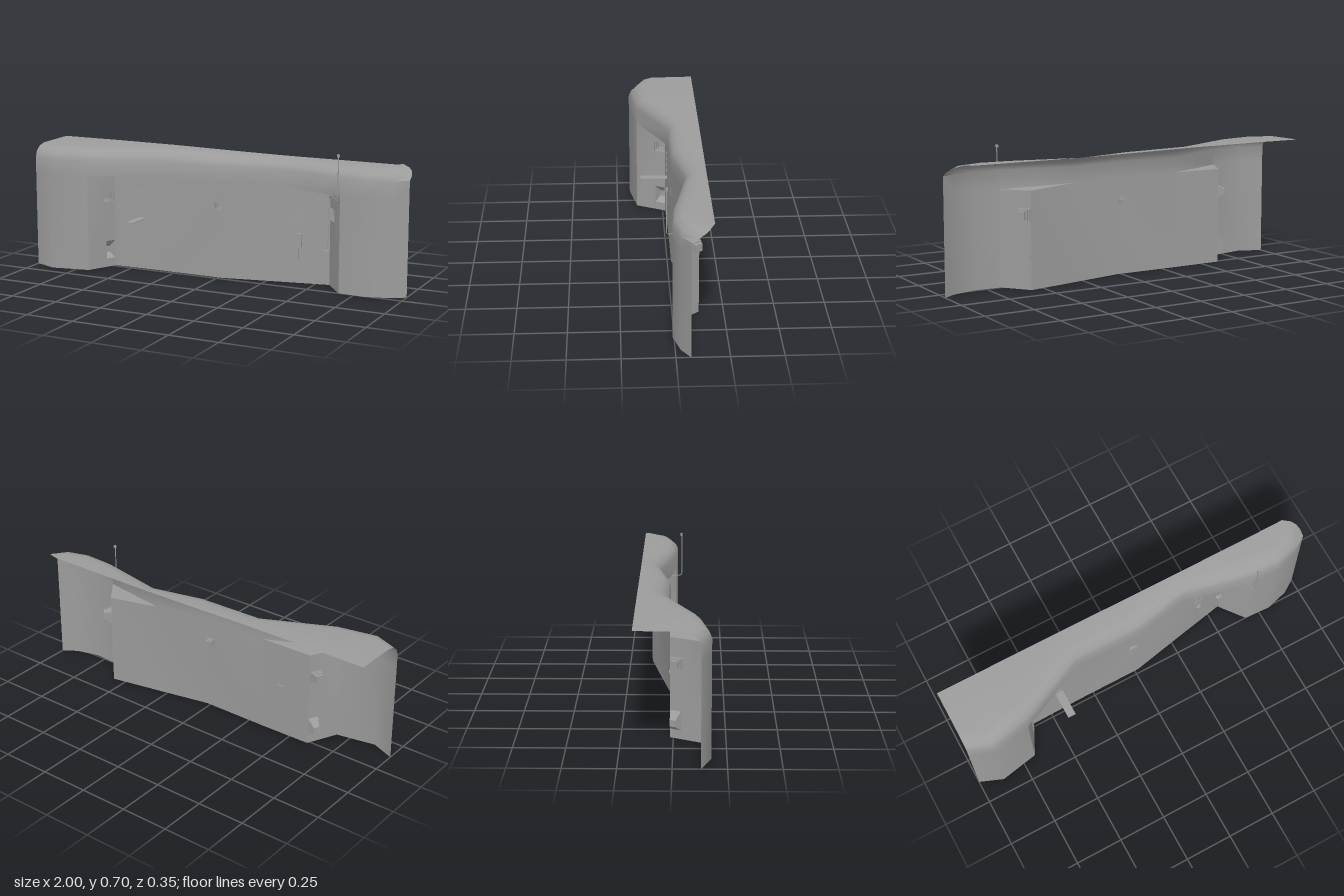
import * as THREE from 'three';
import { mergeGeometries, toCreasedNormals } from 'three/addons/utils/BufferGeometryUtils.js';

const material = new THREE.MeshStandardMaterial({ color: 0x9c9c9c, side: THREE.DoubleSide });

// Plan of the upper shell (x, z, bottom y) and of the recessed lower wall (x, z, top y)
const upperPlan = [[-1, 0.13, 0.5], [-0.88, 0.178, 0.5], [-0.68, 0.14, 0.5], [-0.33, -0.02, 0.5],
  [0.02, -0.02, 0.5], [0.3, -0.077, 0.5], [0.5, -0.035, 0.492], [0.67, 0, 0.486], [0.81, 0.008, 0.5],
  [0.93, -0.025, 0.5], [1, -0.07, 0.5]];
const lowerPlan = [[-1, 0.13, 0.5], [-0.88, 0.178, 0.5], [-0.68, 0.14, 0.5], [-0.605, -0.015, 0.5],
  [-0.33, -0.02, 0.5], [0.02, -0.02, 0.5], [0.3, -0.077, 0.5], [0.57, -0.13, 0.488], [0.67, 0, 0.486],
  [0.81, 0.008, 0.5], [0.93, -0.025, 0.5], [1, -0.07, 0.5]];

// Stepped lamp niche as rings of width, height, depth, vertical shift
const lampRings = s => [[0.07, 0.062, 0], [0.07, 0.062, 0.012], [0.056, 0.052, 0.012], [0.056, 0.052, 0.025],
  [0.042, 0.04, 0.025], [0.042, 0.04, 0.042], [0, 0, 0.042]].map(r => r.map(v => v * s));
const hoodRings = [[0.055, 0.095, 0], [0.03, 0.032, 0.036, -0.006], [0, 0, 0.036, -0.006]];

// Openings: wall segment, distance along it, height, rings
const openings = [
  { name: 'lampNiche', segment: 2, u: 0.1367, y: 0.378, rings: lampRings(0.87) },
  { name: 'hoodNiche', segment: 2, u: 0.142, y: 0.092, rings: hoodRings },
  { name: 'lampNiche', segment: 4, u: 0.325, y: 0.375, rings: lampRings(0.6) },
  { name: 'lampNiche', segment: 7, u: 0.038, y: 0.37, rings: lampRings(1) },
];

function fromPoints(points) {
  const g = new THREE.BufferGeometry();
  g.setAttribute('position', new THREE.Float32BufferAttribute(points.flat(), 3));
  return g;
}

// Surface through columns of points, each listed bottom to top
function sheet(columns) {
  const rows = columns[0].length, index = [];
  for (let i = 0; i < columns.length - 1; i++)
    for (let j = 0; j < rows - 1; j++) {
      const a = i * rows + j, b = a + rows;
      index.push(a, b, b + 1, a, b + 1, a + 1);
    }
  return fromPoints(columns.flat()).setIndex(index).toNonIndexed();
}

const rectangle = (w, h) => [[-w / 2, -h / 2], [w / 2, -h / 2], [w / 2, h / 2], [-w / 2, h / 2]];

// Start, length and turn of a lower wall segment
function segmentFrame(i) {
  const [x, z] = lowerPlan[i], dx = lowerPlan[i + 1][0] - x, dz = lowerPlan[i + 1][1] - z;
  return { x, z, length: Math.hypot(dx, dz), turn: -Math.atan2(dz, dx) };
}

// Flat wall segment with its openings cut out
function wallPanel(i) {
  const { x, z, length, turn } = segmentFrame(i);
  const outline = [[0, 0], [length, 0], [length, lowerPlan[i + 1][2]], [0, lowerPlan[i][2]]];
  const shape = new THREE.Shape(outline.map(p => new THREE.Vector2(...p)));
  for (const o of openings.filter(o => o.segment === i))
    shape.holes.push(new THREE.Path(rectangle(o.rings[0][0], o.rings[0][1])
      .map(([a, b]) => new THREE.Vector2(o.u + a, o.y + b))));
  const g = new THREE.ShapeGeometry(shape).toNonIndexed();
  g.deleteAttribute('uv');
  g.deleteAttribute('normal');
  return g.rotateY(turn).translate(x, 0, z);
}

function wallGeometry() {
  const back = -0.176;
  const upper = upperPlan.map(([x, z, bottom], i) => {
    const drop = 0.012 * THREE.MathUtils.smoothstep(x, -0.6, 0.4);
    const rows = [[x, bottom, z], [x, 0.58, z]];
    // The last column runs diagonally back to the rear corner
    if (i === upperPlan.length - 1)
      return [...rows, [1, 0.6, -0.1], [0.99, 0.617, -0.13], [0.97, 0.63, -0.152], [0.93, 0.641, back]];
    const rearX = Math.min(x, 0.9), depth = z - back;
    for (const [y, inset] of [[0.61, 0.012], [0.634, 0.04], [0.645, 0.085], [0.648, depth]])
      rows.push([x + (rearX - x) * inset / depth, y - drop * (y - 0.58) / 0.068, z - inset]);
    return rows;
  });
  const corner = ([x, z, y]) => [x, y, z];
  const parts = [sheet(upper)];
  for (let i = 0; i < lowerPlan.length - 1; i++) parts.push(wallPanel(i));
  // Ceilings of the two recesses
  for (const t of [[lowerPlan[2], lowerPlan[3], lowerPlan[4]],
    [lowerPlan[6], lowerPlan[7], upperPlan[6]], [upperPlan[6], lowerPlan[7], lowerPlan[8]]])
    parts.push(fromPoints(t.map(corner)));
  return toCreasedNormals(mergeGeometries(parts), 0.75);
}

function nicheGeometry(rings) {
  const columns = [0, 1, 2, 3, 0].map(k => rings.map(([w, h, depth, shift = 0]) => {
    const [a, b] = rectangle(w, h)[k];
    return [a, b + shift, -depth];
  }));
  const g = sheet(columns);
  g.computeVertexNormals();
  return g;
}

function add(parent, name, geometry, x = 0, y = 0, z = 0) {
  const mesh = new THREE.Mesh(geometry, material);
  mesh.name = name;
  mesh.position.set(x, y, z);
  parent.add(mesh);
  return mesh;
}

// Group whose local z is the outward normal of the wall it sits on
function mount(parent, name, x, y, z, turn) {
  const group = new THREE.Group();
  group.name = name;
  group.position.set(x, y, z);
  group.rotation.y = turn;
  parent.add(group);
  return group;
}

const box = (w, h, d) => new THREE.BoxGeometry(w, h, d);

export function createModel() {
  const model = new THREE.Group();
  model.name = 'wallSection';
  add(model, 'curvedWall', wallGeometry());

  // Niches set back into the wall
  for (const { name, segment, u, y, rings } of openings) {
    const { x, z, turn } = segmentFrame(segment);
    add(mount(model, name, x, y, z, turn), name, nicheGeometry(rings), u);
  }

  // Thin shelf in the left recess
  add(model, 'shelf', box(0.042, 0.004, 0.148), -0.44, 0.274, 0.051);

  // Rows of vent slats, single on the left and split on the right
  const slopeTurn = segmentFrame(6).turn;
  const leftVent = mount(model, 'leftVent', -0.45, 0.36, -0.018, 0);
  const rightVent = mount(model, 'rightVent', 0.42, 0.36, -0.1, slopeTurn);
  for (let i = 0; i < 4; i++) {
    const y = -0.05 + i * 0.034;
    add(leftVent, 'ventSlat', box(0.05, 0.002, 0.003), 0, y, 0.002);
    for (const x of [-0.018, 0.018]) add(rightVent, 'ventSlat', box(0.02, 0.003, 0.004), x, y, 0);
  }

  // Upright handle with a slim stem
  const handle = mount(model, 'handle', 0.418, 0.222, -0.1, slopeTurn);
  add(handle, 'handleGrip', box(0.022, 0.075, 0.014), 0, 0, 0.007);
  add(handle, 'handleStem', box(0.005, 0.07, 0.006), -0.008, -0.067, 0.004);

  // Aerial with its cable running down to a small switch box
  const path = new THREE.CurvePath();
  const points = [[0.67, 0.69, 0.03], [0.67, 0.475, 0.03], [0.667, 0.464, 0.022], [0.66, 0.464, 0.004],
    [0.578, 0.466, -0.108], [0.567, 0.452, -0.122], [0.563, 0.17, -0.122]].map(a => new THREE.Vector3(...a));
  for (let i = 0; i < points.length - 1; i++) path.add(new THREE.LineCurve3(points[i], points[i + 1]));
  add(model, 'aerialCable', new THREE.TubeGeometry(path, 90, 0.0025, 6));
  add(model, 'aerialTip', box(0.011, 0.014, 0.011), 0.67, 0.693, 0.029);
  add(model, 'switchBox', box(0.03, 0.03, 0.02), 0.56, 0.165, -0.118).rotation.y = slopeTurn;

  return model;
}
